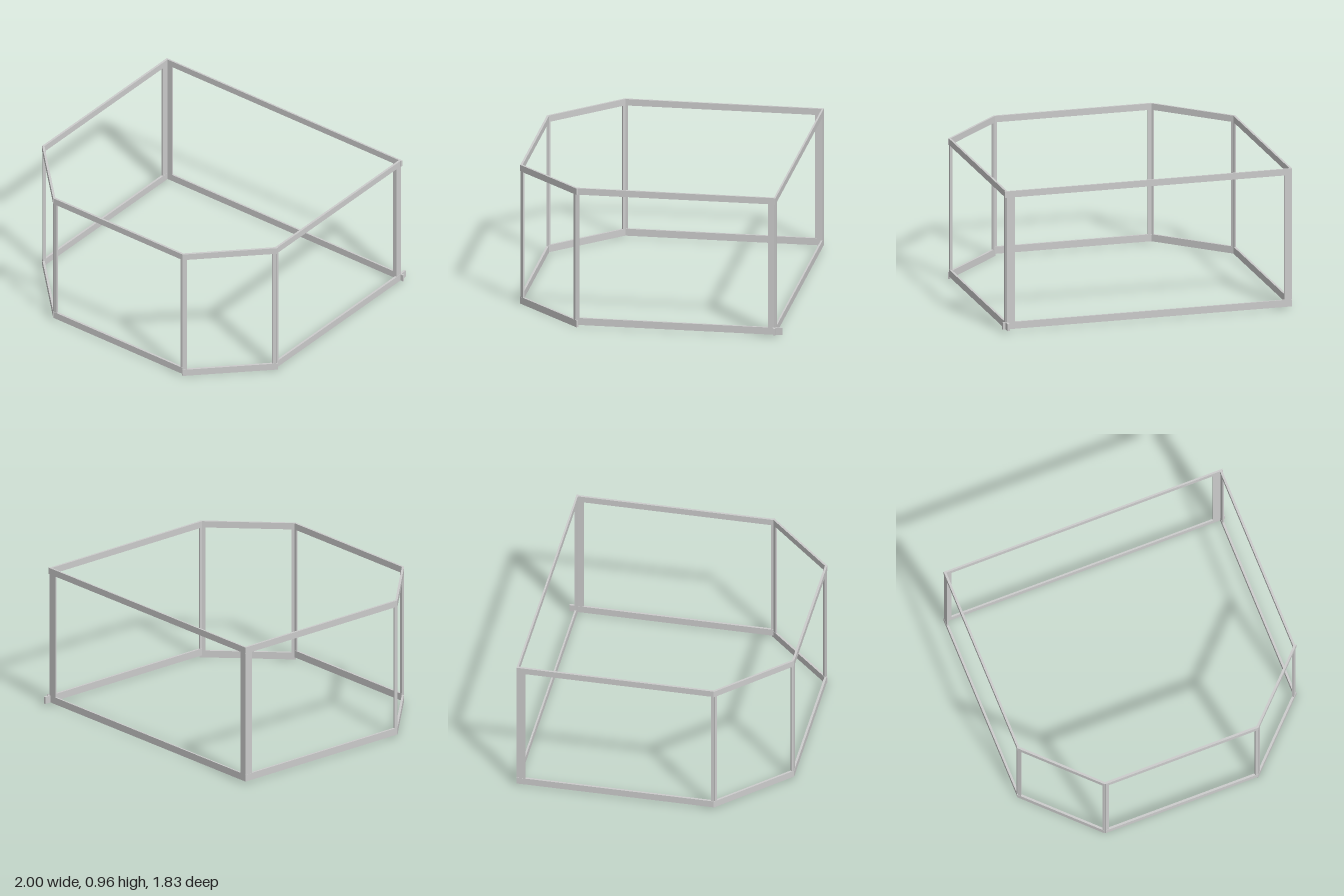
import * as THREE from 'three';

const material = new THREE.MeshStandardMaterial({ color: 0xcccccc, flatShading: true });
const T = 0.015; // bar thickness

// Upright flat bar whose centre line runs from (x0, z0) to (x1, z1) in plan, between two heights
function bar(name, [x0, z0], [x1, z1], y0, y1, thick = T) {
  const length = Math.hypot(x1 - x0, z1 - z0);
  const mesh = new THREE.Mesh(new THREE.BoxGeometry(length, y1 - y0, thick), material);
  mesh.position.set((x0 + x1) / 2, (y0 + y1) / 2, (z0 + z1) / 2);
  mesh.rotation.y = -Math.atan2(z1 - z0, x1 - x0);
  mesh.name = name;
  return mesh;
}

// Angle post: two flat strips meeting at a corner, each lying along one wall
function anglePost(name, corner, towardA, towardB, widthA, widthB) {
  const post = new THREE.Group();
  post.name = name;
  [[towardA, widthA], [towardB, widthB]].forEach(([to, width], i) => {
    const d = new THREE.Vector2(to[0] - corner[0], to[1] - corner[1]).setLength(width);
    post.add(bar('postStrip' + (i + 1), corner, [corner[0] + d.x, corner[1] + d.y], 0.02, 0.955, 0.012));
  });
  return post;
}

export function createModel() {
  const model = new THREE.Group();
  model.name = 'sixSidedFrame';

  // Plan corners of the enclosure
  const backRight = [-0.985, -0.864], backLeft = [0.972, -0.864];
  const sideRight = [-0.985, 0.46], sideLeft = [0.975, 0.46];
  const frontRight = [-0.545, 0.903], frontLeft = [0.537, 0.903];

  // Rails: name, start, end, bottom height of the lower rail
  const rails = [
    ['backRail', [-0.992, -0.864], [0.985, -0.864], 0.015, 0.012],
    ['rightRail', [-0.985, -0.87], sideRight, 0.015, T],
    ['rightDiagonalRail', [-0.99, 0.455], [-0.545, 0.903], 0.015, T],
    ['frontRail', frontRight, frontLeft, 0.015, T],
    ['leftDiagonalRail', [0.533, 0.907], [0.982, 0.455], 0, T],
    ['leftRail', [0.972, -0.87], [0.972, 0.46], 0.015, T],
  ];
  for (const [name, a, b, low, thick] of rails) {
    // The lower back and left rails overrun their shared corner
    const aLow = name === 'leftRail' ? [a[0], -0.915] : a;
    const bLow = name === 'backRail' ? [1, b[1]] : b;
    model.add(bar(name + 'Bottom', aLow, bLow, low, low + 0.048, thick));
    model.add(bar(name + 'Top', a, b, 0.918, 0.962, thick));
  }

  // Corner posts, wider at the back
  model.add(
    anglePost('backRightPost', backRight, backLeft, sideRight, 0.045, 0.052),
    anglePost('backLeftPost', backLeft, backRight, [0.972, 0.46], 0.056, 0.045),
    anglePost('sideRightPost', sideRight, backRight, frontRight, 0.02, 0.02),
    anglePost('sideLeftPost', [0.972, 0.464], [0.972, -0.864], frontLeft, 0.02, 0.025),
    anglePost('frontRightPost', frontRight, frontLeft, sideRight, 0.025, 0.015),
    anglePost('frontLeftPost', frontLeft, frontRight, sideLeft, 0.018, 0.025),
  );
  return model;
}
